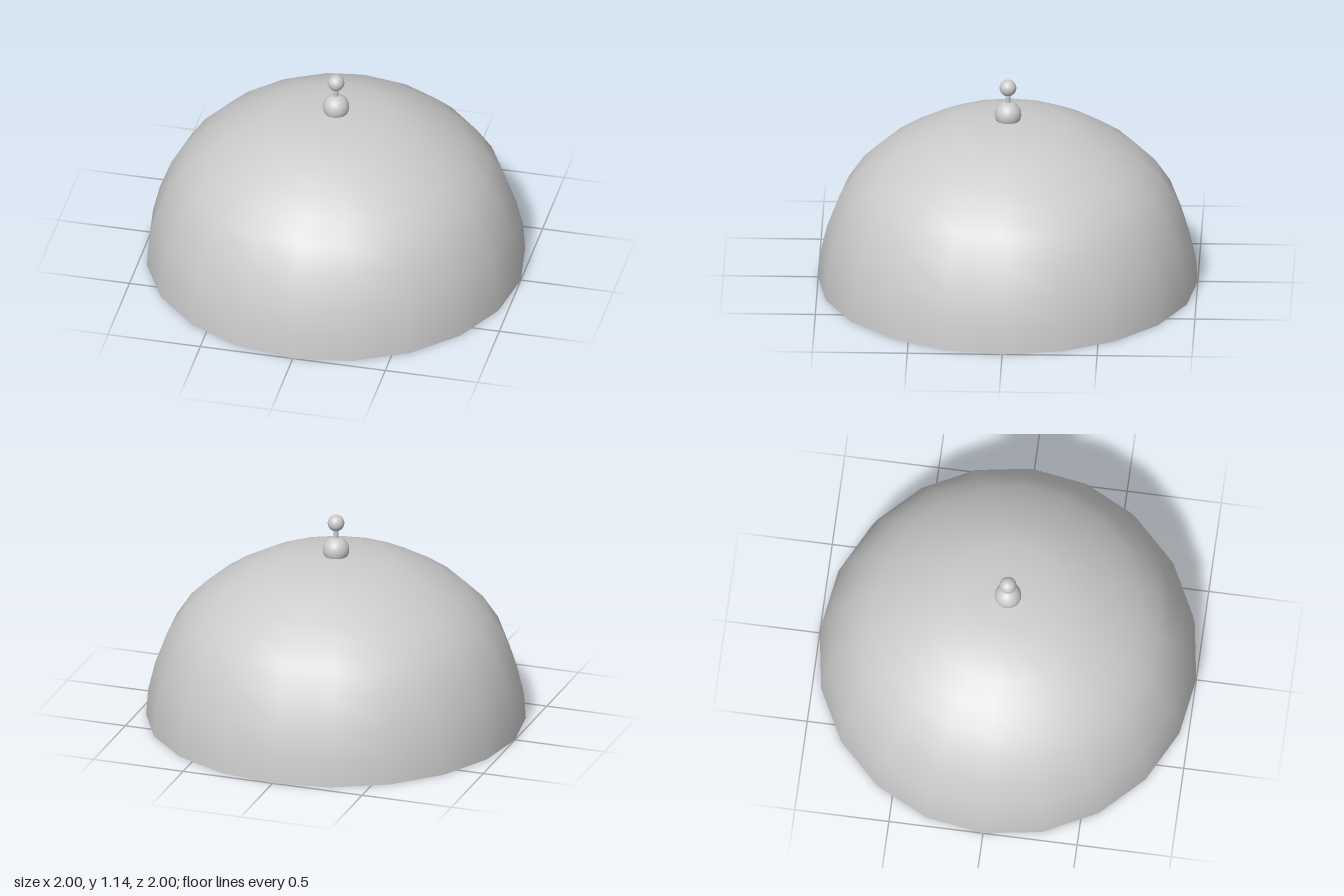
import * as THREE from 'three';

export function createModel() {
  const group = new THREE.Group();
  const material = new THREE.MeshStandardMaterial({ color: 0xcccccc });
  const shellMaterial = new THREE.MeshStandardMaterial({ color: 0xcccccc, side: THREE.DoubleSide });

  const add = (name, geometry, y, mat = material) => {
    const mesh = new THREE.Mesh(geometry, mat);
    mesh.name = name;
    mesh.position.y = y;
    group.add(mesh);
  };

  // Thin open dome with a flattened crown, 20 sides
  const profile = [
    [1, 0], [0.99, 0.14], [0.953, 0.294], [0.89, 0.462], [0.807, 0.588],
    [0.706, 0.686], [0.588, 0.768], [0.454, 0.84], [0.309, 0.893], [0.156, 0.91], [0, 0.921],
  ].map(([r, y]) => new THREE.Vector2(r, y));
  add('dome', new THREE.LatheGeometry(profile, 20), 0, shellMaterial);

  // Handle: round base, slim stem and ball knob
  add('handleBase', new THREE.SphereGeometry(0.07, 32, 20), 0.946);
  add('handleStem', new THREE.CylinderGeometry(0.013, 0.013, 0.09, 20), 1.035);
  add('handleKnob', new THREE.SphereGeometry(0.044, 32, 20), 1.097);

  return group;
}
